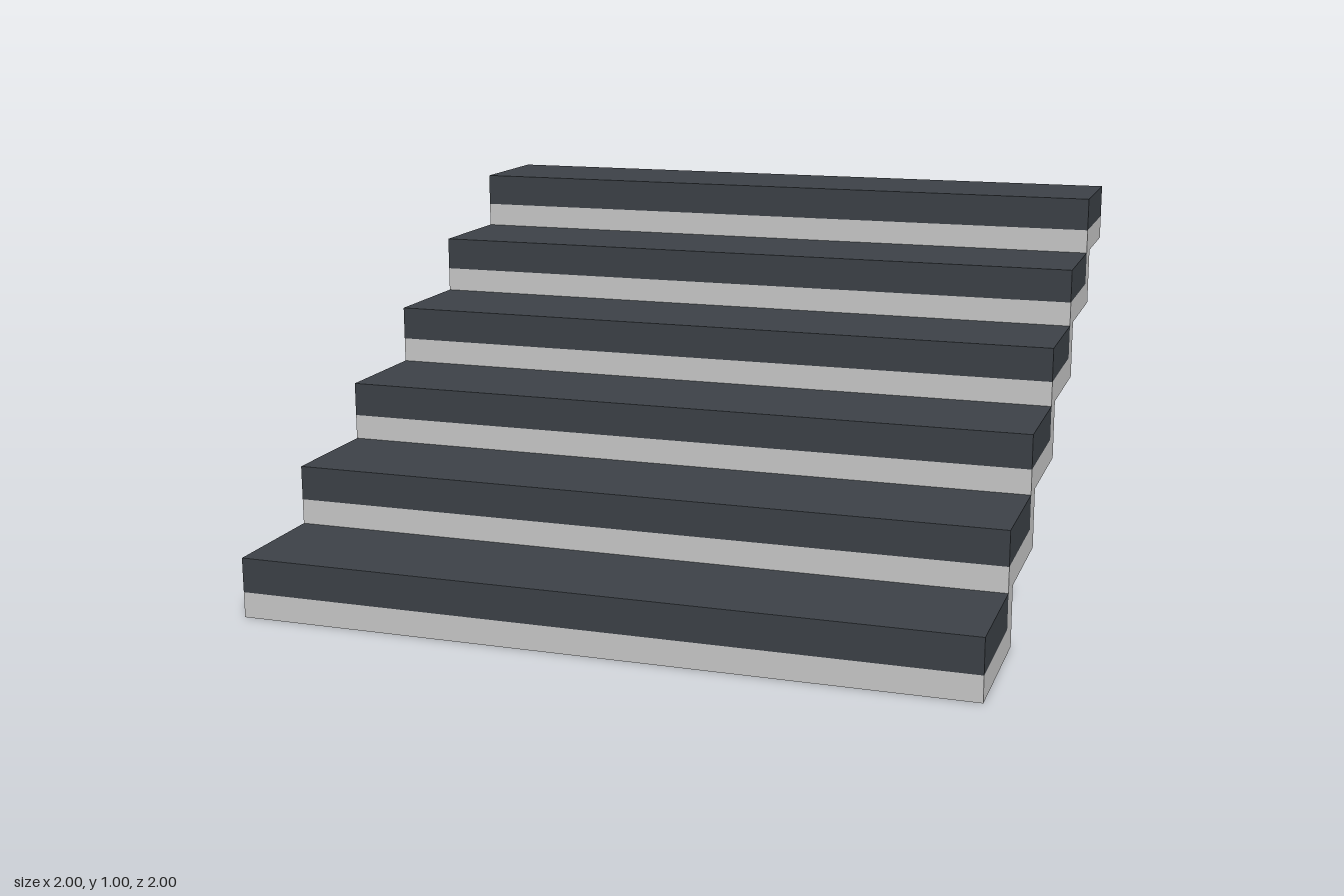
import * as THREE from 'three';

const STEPS = 6;
const RUN = 2 / STEPS;
const RISE = 1 / STEPS;
const TREAD = 0.096; // thickness of a dark tread
const SLAB = RISE - TREAD; // thickness of the pale slab below it
const RISER = 0.068; // thickness of the upright part

export function createModel() {
  const group = new THREE.Group();
  group.name = 'staircase';
  const dark = new THREE.MeshStandardMaterial({ color: 0x3d4248 });
  dark.name = 'dark slate';
  const pale = new THREE.MeshStandardMaterial({ color: 0xcbcbcb });
  pale.name = 'pale concrete';

  // Folded stair slab: side profile drawn as (-z, y), stepping up and back down
  const upper = [];
  const lower = [];
  for (let i = 0; i < STEPS; i++) {
    const front = -1 + i * RUN;
    const back = front + RUN;
    const last = i === STEPS - 1;
    upper.push([front, i * RISE + SLAB], [back, i * RISE + SLAB]);
    const under = last ? back : back + RISER;
    lower.push([under, i * RISE]);
    if (!last) lower.push([under, (i + 1) * RISE]);
  }
  const points = [[-1, 0], ...lower, ...upper.reverse()];
  const profile = new THREE.Shape(points.map(([s, y]) => new THREE.Vector2(s, y)));
  const slabGeometry = new THREE.ExtrudeGeometry(profile, { depth: 2, bevelEnabled: false });
  slabGeometry.translate(0, 0, -1).rotateY(Math.PI / 2);
  const slab = new THREE.Mesh(slabGeometry, pale);
  slab.name = 'stairSlab';
  group.add(slab);

  // Dark treads resting on the slab
  const treadGeometry = new THREE.BoxGeometry(2, TREAD, RUN);
  for (let i = 0; i < STEPS; i++) {
    const tread = new THREE.Mesh(treadGeometry, dark);
    tread.name = `tread${i + 1}`;
    tread.position.set(0, (i + 1) * RISE - TREAD / 2, 1 - (i + 0.5) * RUN);
    group.add(tread);
  }
  return group;
}
